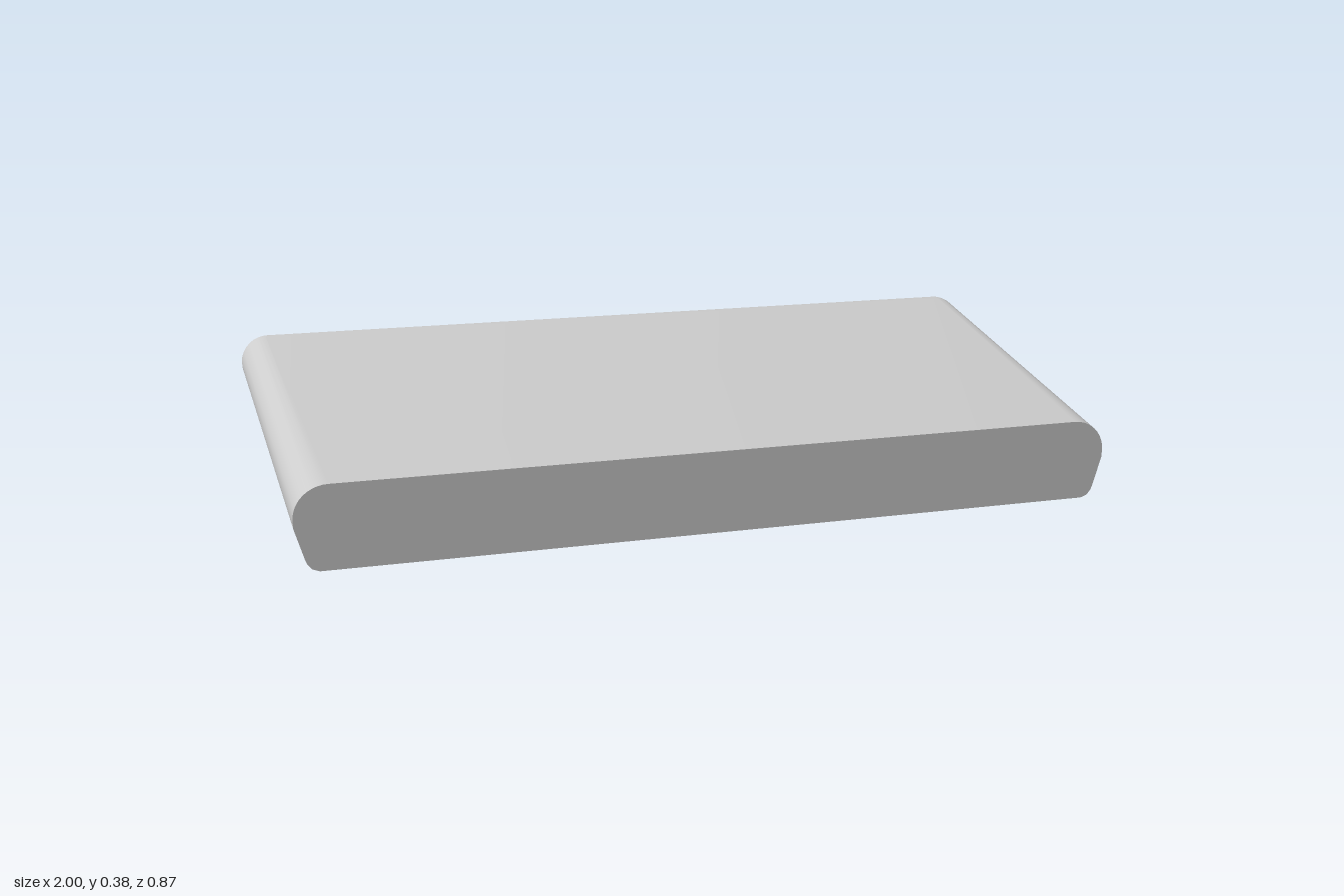
import * as THREE from 'three';
import { ConvexGeometry } from 'three/addons/geometries/ConvexGeometry.js';
import { toCreasedNormals } from 'three/addons/utils/BufferGeometryUtils.js';

export function createModel() {
  const group = new THREE.Group();
  const points = [];
  // Adds a point on both sides of the centre line
  const pair = (x, y, z) => {
    points.push(new THREE.Vector3(x, y, z), new THREE.Vector3(-x, y, z));
  };

  // Flat front end: rounded upper corners, sides tapering in to the base
  const front = 0.435;
  for (let i = 0; i <= 10; i++) {
    const a = (i / 10) * Math.PI / 2;
    pair(0.92 + 0.08 * Math.cos(a), 0.12 + 0.075 * Math.sin(a), front);
  }
  for (const [x, y] of [[0.999, 0.1], [0.977, 0.03], [0.972, 0.018], [0.962, 0.006], [0.945, 0]]) {
    pair(x, y, front);
  }

  // Round nose along the raised back edge
  const r = 0.067, rings = 16, segments = 32;
  for (let i = 1; i < rings; i++) {
    const lat = (i / rings) * Math.PI;
    for (let j = 0; j < segments; j++) {
      const lon = (j / segments) * Math.PI * 2;
      const x = r * Math.sin(lat) * Math.cos(lon);
      if (x < -1e-6) continue;
      pair(0.933 + x, 0.315 + r * Math.cos(lat), -0.37 + r * Math.sin(lat) * Math.sin(lon));
    }
  }
  pair(0.933, 0.315 + r, -0.37);
  pair(0.933, 0.315 - r, -0.37);

  // Softened bend where the flat base meets the sloping underside
  for (const [x, y, z] of [
    [0.93, 0, 0.2], [0.905, 0, 0.08], [0.88, 0, 0.03],
    [0.88, 0.002, 0.012], [0.88, 0.006, 0.001], [0.88, 0.012, -0.01],
    [0.9, 0.006, 0.03], [0.905, 0.014, 0.01],
  ]) pair(x, y, z);

  const geometry = toCreasedNormals(new ConvexGeometry(points), 0.5);
  const cushion = new THREE.Mesh(geometry, new THREE.MeshStandardMaterial({ color: 0xcccccc }));
  cushion.name = 'wedgeCushion';
  group.add(cushion);
  return group;
}
